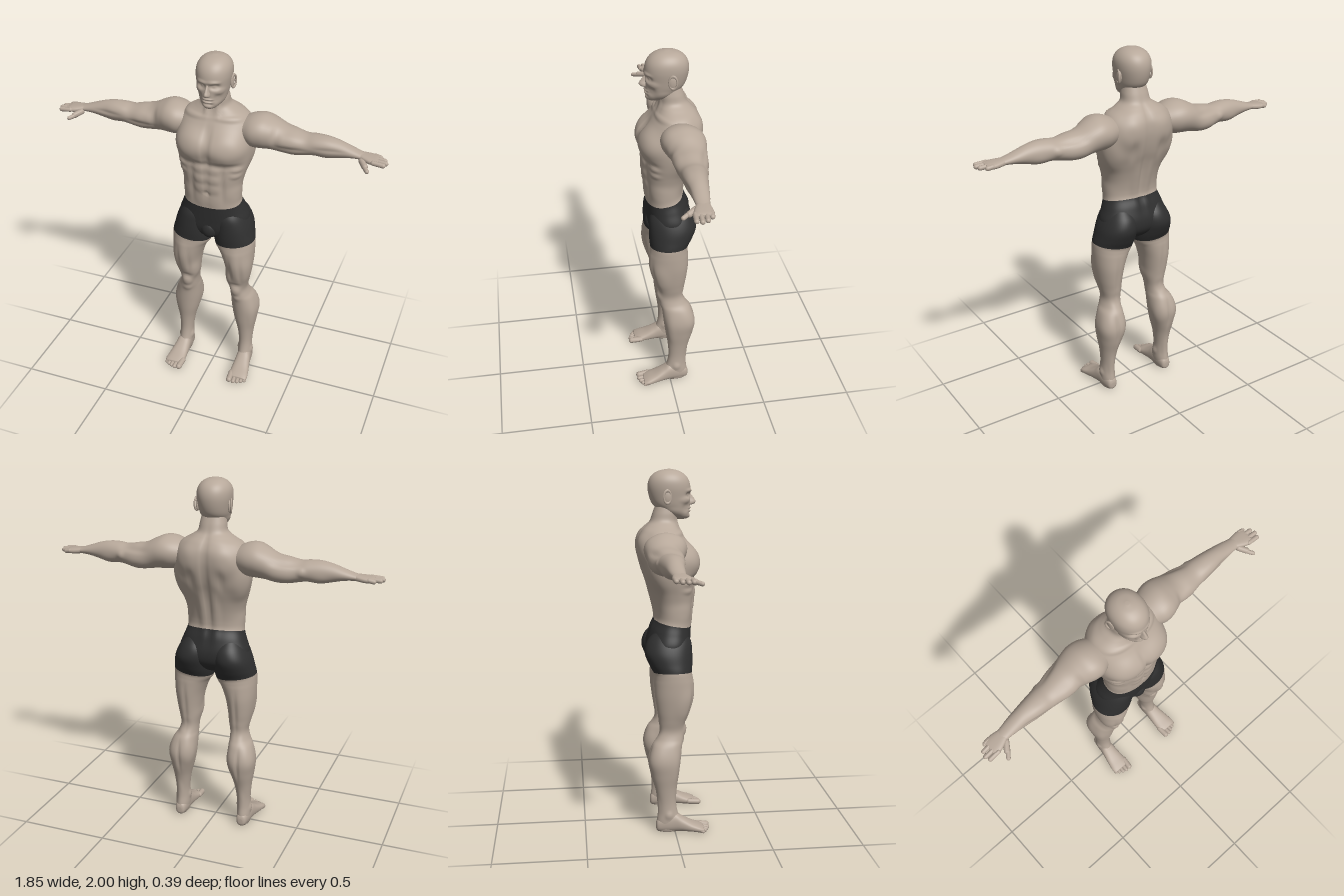
import * as THREE from 'three';

const skin = new THREE.MeshStandardMaterial({ color: 0xb7a89a });
skin.name = 'skin';
const cloth = new THREE.MeshStandardMaterial({ color: 0x2f2f2f });
cloth.name = 'shorts cloth';

// Smooth value through a column of section numbers
function spline(table, u, k) {
  const i = Math.min(Math.floor(u), table.length - 2), f = u - i;
  const at = (j) => table[Math.max(0, Math.min(table.length - 1, j))][k];
  const a = at(i - 1), b = at(i), c = at(i + 1), d = at(i + 2);
  return b + 0.5 * f * (c - a + f * (2 * a - 5 * b + 4 * c - d + f * (3 * (b - c) + d - a)));
}

// Skin over sections [t, aMin, aMax, bMin, bMax]; (t, a, b) is (y,z,x), (x,y,z) or (z,x,y).
// Bumps [x, y, z, sizeX, sizeY, sizeZ, height] raise muscles or press grooves along the normal.
function loft(axis, table, { n = 48, k = 5, e = 1, bumps = [], warp, split } = {}) {
  const order = { y: ['y', 'z', 'x'], x: ['x', 'y', 'z'], z: ['z', 'x', 'y'] }[axis];
  const rows = (table.length - 1) * k, pts = [], index = [];
  const power = (v) => Math.sign(v) * Math.abs(v) ** e;
  for (let r = -1; r <= rows + 1; r++) {
    const u = Math.max(0, Math.min(rows, r)) / k;
    const [t, a0, a1, b0, b1] = [0, 1, 2, 3, 4].map((c) => spline(table, u, c));
    const size = r < 0 || r > rows ? 0 : 0.5;
    for (let j = 0; j < n; j++) {
      const q = (j / n) * Math.PI * 2, p = new THREE.Vector3();
      p[order[0]] = t;
      p[order[1]] = (a0 + a1) / 2 + (a1 - a0) * size * power(Math.cos(q));
      p[order[2]] = (b0 + b1) / 2 + (b1 - b0) * size * power(Math.sin(q));
      if (warp) warp(p);
      pts.push(p);
    }
  }
  for (let r = 0; r < rows + 2; r++) for (let j = 0; j < n; j++) {
    const a = r * n + j, b = r * n + (j + 1) % n;
    index.push(a, b, a + n, b, b + n, a + n);
  }
  const geo = new THREE.BufferGeometry().setFromPoints(pts);
  geo.setIndex(index);
  geo.computeVertexNormals();
  const normal = new THREE.Vector3();
  pts.forEach((p, i) => {
    normal.fromBufferAttribute(geo.attributes.normal, i);
    let h = 0;
    for (const [x, y, z, sx, sy, sz, amount] of bumps) {
      const d = ((p.x - x) / sx) ** 2 + ((p.y - y) / sy) ** 2 + ((p.z - z) / sz) ** 2;
      h += amount * Math.exp(-d * Math.sqrt(d));
    }
    p.addScaledVector(normal, h);
    geo.attributes.position.setXYZ(i, p.x, p.y, p.z);
  });
  geo.computeVertexNormals();
  if (split) {
    const cut = (split.row * k + 1) * n * 6;
    geo.addGroup(0, cut, split.first);
    geo.addGroup(cut, index.length - cut, 1 - split.first);
  }
  return geo;
}

function mirrored(source) {
  const geo = source.clone().scale(-1, 1, 1), ix = geo.index;
  for (let i = 0; i < ix.count; i += 3) {
    const b = ix.getX(i + 1);
    ix.setX(i + 1, ix.getX(i + 2));
    ix.setX(i + 2, b);
  }
  geo.computeVertexNormals();
  return geo;
}

const bothSides = (list) => list.flatMap((b) => (b[0] === 0 ? [b] : [b, [-b[0], ...b.slice(1)]]));

function digit(from, to, radius, flat = 1) {
  const a = new THREE.Vector3(...from), b = new THREE.Vector3(...to), d = b.clone().sub(a);
  const geo = new THREE.CapsuleGeometry(radius, d.length(), 6, 12);
  geo.applyQuaternion(new THREE.Quaternion().setFromUnitVectors(new THREE.Vector3(0, 1, 0), d.normalize()));
  geo.scale(1, flat, 1);
  return geo.translate(...a.add(b).multiplyScalar(0.5).toArray());
}

const ball = (x, y, z, sx, sy, sz) => new THREE.SphereGeometry(1, 24, 16).scale(sx, sy, sz).translate(x, y, z);

export function createModel() {
  const model = new THREE.Group();
  model.name = 'athlete';
  const add = (name, geo, material = skin) => {
    const mesh = new THREE.Mesh(geo, material);
    mesh.name = name;
    model.add(mesh);
  };
  const pair = (name, geo, material) => {
    add('left ' + name, geo, material);
    add('right ' + name, mirrored(geo), material);
  };

  // Torso from crotch to neck: y, back, front, half width; the waistband sits at section 5
  const torso = [
    [0.925, -0.04, 0.04, 0.03], [0.95, -0.09, 0.08, 0.1], [1.0, -0.132, 0.098, 0.19], [1.06, -0.14, 0.103, 0.2],
    [1.12, -0.12, 0.106, 0.179], [1.17, -0.094, 0.108, 0.162], [1.22, -0.093, 0.112, 0.157], [1.28, -0.103, 0.118, 0.162],
    [1.34, -0.12, 0.124, 0.176], [1.4, -0.142, 0.124, 0.194], [1.46, -0.165, 0.128, 0.206], [1.52, -0.18, 0.126, 0.21],
    [1.58, -0.186, 0.102, 0.207], [1.63, -0.178, 0.076, 0.195], [1.67, -0.158, 0.052, 0.165], [1.7, -0.135, 0.036, 0.115],
    [1.727, -0.114, 0.03, 0.08], [1.77, -0.099, 0.033, 0.071], [1.82, -0.08, 0.03, 0.06],
  ].map(([y, b, f, w]) => [y, b, f, -w, w]);
  const torsoBumps = bothSides([
    [0.1, 1.525, 0.12, 0.1, 0.085, 0.12, 0.03], // chest
    [0, 1.53, 0.13, 0.013, 0.1, 0.1, -0.014],
    [0.1, 1.425, 0.12, 0.1, 0.02, 0.07, -0.007],
    [0.1, 1.665, 0.03, 0.08, 0.012, 0.05, 0.006], // collarbone
    [0.03, 1.7, 0.02, 0.014, 0.05, 0.04, 0.006],
    [0.036, 1.395, 0.12, 0.032, 0.028, 0.06, 0.006], // abdomen
    [0.036, 1.335, 0.12, 0.032, 0.028, 0.06, 0.006],
    [0.035, 1.275, 0.12, 0.032, 0.028, 0.06, 0.006],
    [0.03, 1.2, 0.12, 0.035, 0.045, 0.06, 0.004],
    [0, 1.32, 0.12, 0.01, 0.13, 0.06, -0.005],
    [0, 1.245, 0.12, 0.01, 0.01, 0.04, -0.008],
    [0.085, 1.32, 0.11, 0.014, 0.12, 0.06, -0.006],
    [0.14, 1.235, 0.04, 0.05, 0.05, 0.08, 0.006],
    [0.155, 1.4, 0.08, 0.025, 0.016, 0.05, 0.006], // ribs
    [0.15, 1.36, 0.08, 0.025, 0.016, 0.05, 0.006],
    [0.185, 1.46, -0.1, 0.06, 0.11, 0.07, 0.013], // back
    [0.11, 1.58, -0.17, 0.065, 0.075, 0.06, 0.012],
    [0.06, 1.65, -0.15, 0.06, 0.06, 0.06, 0.008],
    [0.035, 1.27, -0.11, 0.025, 0.13, 0.05, 0.009],
    [0, 1.42, -0.16, 0.018, 0.26, 0.08, -0.016],
    [0.085, 1.48, -0.17, 0.02, 0.06, 0.06, -0.007],
  ]);
  add('torso and waistband', loft('y', torso, {
    n: 80, k: 7, e: 0.88, bumps: torsoBumps, split: { row: 5, first: 1 },
    warp: (p) => { p.y -= 0.18 * p.z * Math.exp(-(((p.y - 1.17) / 0.06) ** 2)); },
  }), [skin, cloth]);
  add('shorts front', ball(0, 0.995, 0.07, 0.05, 0.055, 0.042), cloth);

  // Leg from sole to hip: y, back, front, inner, outer; the hem sits at section 16
  const leg = [
    [0.005, -0.095, 0.03, 0.162, 0.222], [0.03, -0.104, 0.04, 0.156, 0.228], [0.07, -0.099, 0.032, 0.151, 0.231],
    [0.12, -0.09, 0.015, 0.151, 0.229], [0.18, -0.093, 0.007, 0.15, 0.228], [0.26, -0.11, 0.012, 0.138, 0.236],
    [0.34, -0.134, 0.024, 0.116, 0.249], [0.42, -0.145, 0.034, 0.102, 0.256], [0.5, -0.125, 0.043, 0.1, 0.235],
    [0.54, -0.1, 0.052, 0.102, 0.212], [0.585, -0.086, 0.058, 0.1, 0.2], [0.64, -0.087, 0.068, 0.09, 0.21],
    [0.7, -0.096, 0.086, 0.084, 0.222], [0.78, -0.106, 0.104, 0.068, 0.234], [0.85, -0.108, 0.106, 0.042, 0.239],
    [0.885, -0.107, 0.103, 0.024, 0.24], [0.915, -0.11, 0.101, 0.012, 0.239], [0.96, -0.135, 0.104, 0.004, 0.231],
    [1.02, -0.157, 0.104, 0.004, 0.217], [1.08, -0.142, 0.098, 0.012, 0.19], [1.13, -0.1, 0.07, 0.045, 0.155],
  ];
  const legBumps = [
    [0.105, 0.665, 0.05, 0.03, 0.055, 0.05, 0.01], // thigh
    [0.205, 0.73, 0.05, 0.035, 0.09, 0.05, 0.008],
    [0.155, 0.78, 0.1, 0.03, 0.11, 0.04, 0.005],
    [0.125, 0.75, 0.09, 0.012, 0.09, 0.05, -0.005],
    [0.185, 0.74, 0.09, 0.012, 0.09, 0.05, -0.005],
    [0.15, 0.72, -0.1, 0.012, 0.12, 0.04, -0.006],
    [0.148, 0.585, 0.055, 0.028, 0.03, 0.03, 0.01], // knee
    [0.148, 0.63, 0.065, 0.035, 0.016, 0.03, -0.006],
    [0.15, 0.525, 0.045, 0.022, 0.02, 0.03, 0.005],
    [0.15, 0.58, -0.085, 0.03, 0.04, 0.03, -0.006],
    [0.125, 0.42, -0.12, 0.04, 0.075, 0.05, 0.009], // calf
    [0.225, 0.44, -0.1, 0.035, 0.07, 0.05, 0.007],
    [0.178, 0.4, -0.14, 0.01, 0.09, 0.04, -0.007],
    [0.235, 0.38, 0.0, 0.02, 0.1, 0.03, 0.004],
    [0.19, 0.15, -0.095, 0.02, 0.07, 0.03, 0.006], // ankle
    [0.152, 0.115, -0.03, 0.015, 0.02, 0.02, 0.007],
    [0.23, 0.105, -0.035, 0.015, 0.02, 0.02, 0.007],
  ];
  pair('leg and shorts', loft('y', leg, {
    n: 56, e: 0.95, bumps: legBumps, split: { row: 16, first: 0 },
    warp: (p) => { p.y += 0.14 * (p.x - 0.16) * Math.exp(-(((p.y - 0.915) / 0.05) ** 2)); },
  }), [skin, cloth]);

  // Foot: z, inner, outer, bottom, top
  pair('foot', loft('z', [
    [-0.106, 0.178, 0.204, 0.02, 0.05], [-0.095, 0.163, 0.219, 0.004, 0.075], [-0.05, 0.154, 0.23, 0, 0.1],
    [0, 0.152, 0.236, 0, 0.112], [0.04, 0.15, 0.243, 0.002, 0.088], [0.09, 0.148, 0.253, 0.001, 0.06],
    [0.135, 0.147, 0.26, 0, 0.042], [0.16, 0.152, 0.256, 0.003, 0.03],
  ], { n: 32, e: 0.85 }));
  [[0.162, 0.181, 0.017], [0.189, 0.184, 0.0125], [0.211, 0.177, 0.0115], [0.231, 0.167, 0.011], [0.249, 0.155, 0.0105]]
    .forEach(([x, z, r], i) => pair('toe ' + (i + 1), digit([x - 0.004, r + 0.006, 0.125], [x, r, z], r)));

  // Arm: x, bottom, top, back, front
  const arm = [
    [0.1, 1.57, 1.63, -0.1, 0], [0.16, 1.525, 1.662, -0.14, 0.035], [0.21, 1.503, 1.682, -0.16, 0.056],
    [0.26, 1.5, 1.686, -0.166, 0.052], [0.31, 1.498, 1.668, -0.163, 0.035], [0.37, 1.49, 1.638, -0.156, 0.022],
    [0.43, 1.487, 1.626, -0.145, 0.018], [0.49, 1.498, 1.614, -0.131, 0.012], [0.54, 1.505, 1.618, -0.122, 0.008],
    [0.6, 1.502, 1.618, -0.113, 0.003], [0.66, 1.512, 1.607, -0.103, -0.004], [0.72, 1.525, 1.587, -0.094, -0.01],
    [0.77, 1.53, 1.57, -0.084, -0.014], [0.81, 1.532, 1.56, -0.078, -0.014],
  ];
  pair('arm', loft('x', arm, { n: 48, bumps: [
    [0.26, 1.63, 0.03, 0.07, 0.05, 0.05, 0.006], // shoulder
    [0.25, 1.62, -0.15, 0.07, 0.05, 0.04, 0.005],
    [0.34, 1.59, 0.025, 0.02, 0.06, 0.05, -0.006],
    [0.41, 1.58, 0.01, 0.06, 0.035, 0.04, 0.008], // upper arm
    [0.4, 1.53, -0.13, 0.07, 0.04, 0.04, 0.007],
    [0.42, 1.545, 0.0, 0.08, 0.012, 0.04, -0.006],
    [0.42, 1.6, -0.13, 0.08, 0.014, 0.05, -0.006],
    [0.51, 1.56, -0.12, 0.02, 0.02, 0.02, 0.006], // elbow
    [0.58, 1.59, -0.01, 0.06, 0.03, 0.03, 0.005], // forearm
    [0.59, 1.53, -0.08, 0.06, 0.03, 0.04, 0.005],
    [0.62, 1.565, 0.0, 0.07, 0.01, 0.03, -0.004],
  ] }));

  // Hand with fingers and thumb
  pair('palm', loft('x', [
    [0.77, 1.533, 1.566, -0.078, -0.02], [0.8, 1.528, 1.563, -0.084, -0.006], [0.83, 1.525, 1.56, -0.088, 0.006],
    [0.86, 1.527, 1.556, -0.087, 0.011], [0.875, 1.532, 1.551, -0.082, 0.008],
  ], { n: 32, e: 0.8 }));
  [[-0.076, 0.875], [-0.05, 0.903], [-0.023, 0.912], [0.002, 0.903]]
    .forEach(([z, x], i) => pair('finger ' + (i + 1), digit([0.85, 1.543, z], [x, 1.539, z + 0.003], 0.0125)));
  pair('thumb base', digit([0.79, 1.535, -0.015], [0.815, 1.525, 0.022], 0.016));
  pair('thumb', digit([0.805, 1.527, 0.015], [0.833, 1.518, 0.053], 0.0115));

  // Head: y, back, front, half width
  const head = [
    [1.735, 0.02, 0.082, 0.026], [1.75, -0.015, 0.096, 0.046], [1.78, -0.06, 0.101, 0.066], [1.81, -0.098, 0.102, 0.078],
    [1.85, -0.117, 0.103, 0.086], [1.9, -0.126, 0.105, 0.093], [1.94, -0.12, 0.096, 0.09], [1.97, -0.1, 0.074, 0.074],
    [1.99, -0.066, 0.04, 0.047], [1.999, -0.02, 0, 0.01],
  ].map(([y, b, f, w]) => [y, b, f, -w, w]);
  add('head', loft('y', head, { n: 96, k: 9, e: 0.95, bumps: bothSides([
    [0.036, 1.863, 0.09, 0.024, 0.015, 0.04, -0.014], // eye sockets
    [0.036, 1.862, 0.085, 0.014, 0.008, 0.04, 0.005],
    [0.032, 1.886, 0.095, 0.03, 0.01, 0.04, 0.006],
    [0.055, 1.837, 0.07, 0.025, 0.018, 0.04, 0.005], // cheeks
    [0.05, 1.797, 0.08, 0.02, 0.025, 0.04, -0.006],
    [0.062, 1.77, 0, 0.03, 0.025, 0.05, 0.005],
    [0, 1.794, 0.1, 0.026, 0.006, 0.04, 0.006], // lips
    [0, 1.7855, 0.1, 0.028, 0.004, 0.04, -0.005],
    [0, 1.777, 0.1, 0.022, 0.006, 0.04, 0.006],
    [0, 1.766, 0.1, 0.025, 0.006, 0.04, -0.005],
    [0, 1.75, 0.095, 0.025, 0.013, 0.04, 0.005],
  ]) }));
  add('nose', loft('y', [
    [1.807, 0.08, 0.1, -0.008, 0.008], [1.813, 0.08, 0.123, -0.017, 0.017], [1.826, 0.075, 0.134, -0.017, 0.017],
    [1.845, 0.07, 0.124, -0.011, 0.011], [1.868, 0.07, 0.107, -0.009, 0.009], [1.89, 0.07, 0.1, -0.01, 0.01],
  ], { n: 24 }));
  pair('ear', ball(0.09, 1.855, -0.028, 0.009, 0.036, 0.022));
  pair('ear rim', new THREE.TorusGeometry(0.021, 0.005, 8, 28).scale(1, 1.6, 1)
    .rotateY(Math.PI / 2 - 0.3).translate(0.096, 1.857, -0.029));
  return model;
}
